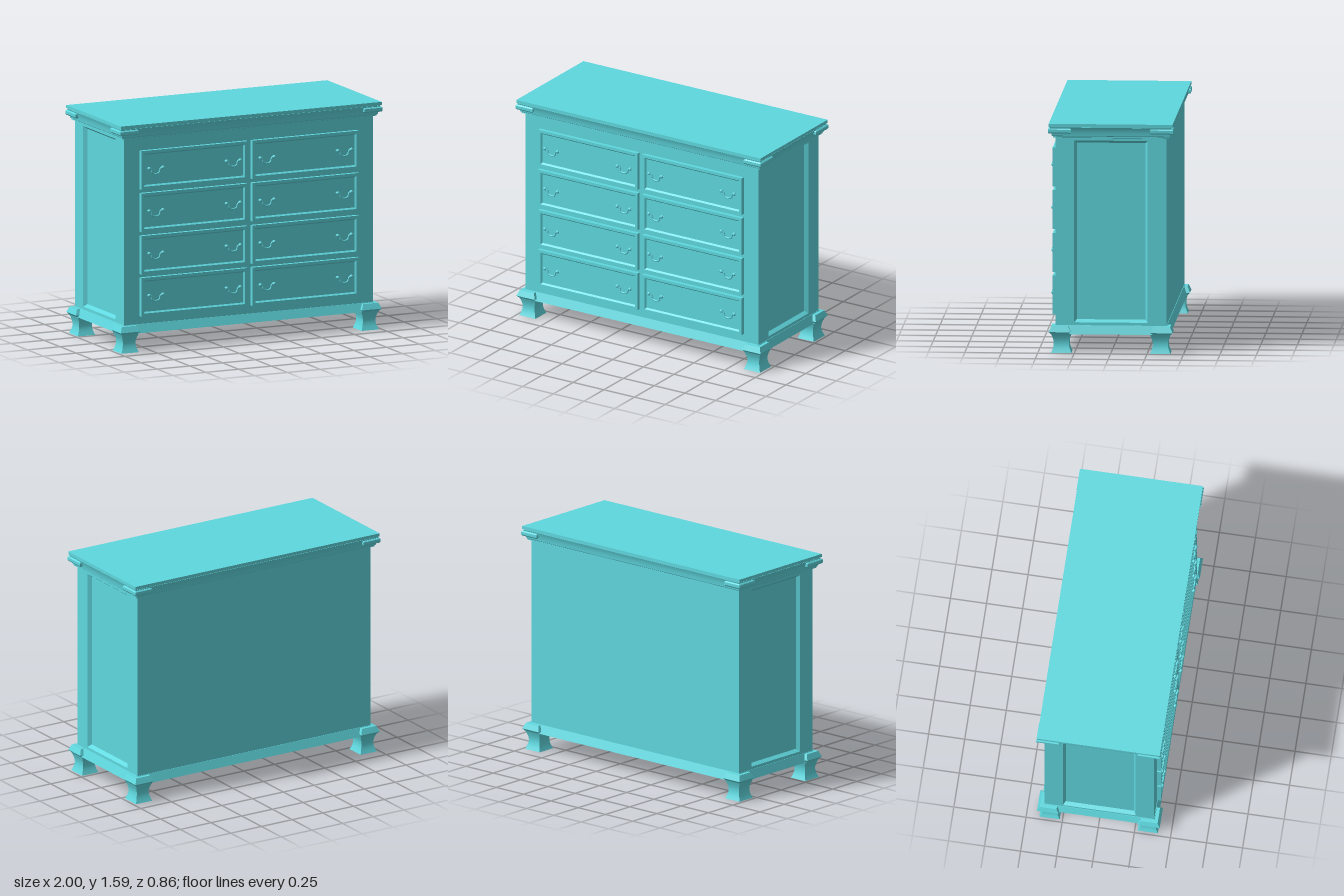
import * as THREE from 'three';
import { toCreasedNormals } from 'three/addons/utils/BufferGeometryUtils.js';

const material = new THREE.MeshStandardMaterial({ color: 0x5fd8df });

// Rectangular loft along +y; each ring is [half x, half z, y], capped at both ends.
function loft(rings) {
  const corners = [[1, 1], [1, -1], [-1, -1], [-1, 1]];
  const pos = [];
  const pt = (r, c) => [corners[c % 4][0] * r[0], r[2], corners[c % 4][1] * r[1]];
  const quad = (a, b, c, d) => pos.push(...a, ...b, ...c, ...a, ...c, ...d);
  for (let i = 0; i < rings.length - 1; i++) {
    const lo = rings[i], hi = rings[i + 1];
    for (let c = 0; c < 4; c++) quad(pt(lo, c), pt(lo, c + 1), pt(hi, c + 1), pt(hi, c));
  }
  const first = rings[0], last = rings[rings.length - 1];
  quad(pt(first, 3), pt(first, 2), pt(first, 1), pt(first, 0));
  quad(pt(last, 0), pt(last, 1), pt(last, 2), pt(last, 3));
  const g = new THREE.BufferGeometry();
  g.setAttribute('position', new THREE.Float32BufferAttribute(pos, 3));
  return toCreasedNormals(g, 0.5);
}

function add(parent, name, geometry, x = 0, y = 0, z = 0) {
  const mesh = new THREE.Mesh(geometry, material);
  mesh.name = name;
  mesh.position.set(x, y, z);
  parent.add(mesh);
  return mesh;
}

// Bail pull: two round knobs joined by a drooping bar
function makeHandle() {
  const handle = new THREE.Group();
  handle.name = 'handle';
  const knob = new THREE.SphereGeometry(0.012, 12, 8);
  const post = new THREE.CylinderGeometry(0.006, 0.008, 0.03, 10).rotateX(Math.PI / 2);
  for (const s of [-1, 1]) {
    add(handle, 'handleKnob', knob, s * 0.052, 0, 0.012);
    add(handle, 'handlePost', post, s * 0.052, 0, 0);
  }
  const half = [[0.066, -0.002], [0.05, 0.002], [0.035, -0.008], [0.028, -0.03], [0.014, -0.04]];
  const points = [
    ...half.map(([x, y]) => new THREE.Vector3(-x, y, 0.009)),
    ...half.slice().reverse().map(([x, y]) => new THREE.Vector3(x, y, 0.009)),
  ];
  const curve = new THREE.CatmullRomCurve3(points);
  add(handle, 'handleBar', new THREE.TubeGeometry(curve, 36, 0.006, 8), 0, 0, 0);
  return handle;
}

export function createModel() {
  const model = new THREE.Group();
  model.name = 'dresser';

  // Carcass
  add(model, 'carcass', new THREE.BoxGeometry(1.84, 1.37, 0.76), 0, 0.815, 0);

  // Sides with a recessed, bevelled panel
  const sideRings = [
    [0.66, 0.38, 0.9], [0.66, 0.38, 0.95], [0.63, 0.252, 0.95], [0.612, 0.236, 0.925],
  ];
  for (const s of [-1, 1]) {
    add(model, s > 0 ? 'leftSidePanel' : 'rightSidePanel',
      loft(sideRings).rotateZ(-s * Math.PI / 2), 0, 0.84, 0);
  }

  // Sloping plinth
  add(model, 'plinth', loft([[0.975, 0.405, 0.13], [0.953, 0.383, 0.19]]));

  // Cornice and top slab, given as [half depth, height]
  const cornice = [
    [0.385, 1.488], [0.398, 1.492], [0.398, 1.5], [0.405, 1.505], [0.408, 1.53],
    [0.414, 1.55], [0.42, 1.564], [0.416, 1.564], [0.416, 1.569], [0.425, 1.569], [0.425, 1.59],
  ];
  add(model, 'corniceTop', loft(cornice.map(([z, y]) => [z + 0.57, z, y])));

  // Feet with hollowed sides
  const footRings = [];
  for (let i = 0; i <= 12; i++) {
    const t = i / 12;
    const waist = 0.018 * Math.sin(Math.PI * t);
    footRings.push([0.066 - waist, 0.07 - waist, 0.132 * t]);
  }
  const foot = loft(footRings);

  // Bevelled blocks wrapping the corners of plinth and cornice
  const lowerBlock = loft([
    [0.062, 0.062, 0.132], [0.075, 0.075, 0.146], [0.058, 0.058, 0.186],
  ]);
  const upperBlock = loft([
    [0.063, 0.073, 1.522], [0.07, 0.08, 1.53], [0.07, 0.08, 1.55], [0.063, 0.073, 1.557],
  ]);
  for (const sx of [-1, 1]) {
    for (const sz of [-1, 1]) {
      add(model, 'foot', foot, sx * 0.915, 0, sz * 0.34);
      add(model, 'plinthCornerBlock', lowerBlock, sx * 0.92, 0, sz * 0.35);
      add(model, 'corniceCornerBlock', upperBlock, sx * 0.93, 0, sz * 0.35);
    }
  }

  // Drawers: four rows of two, each with a recessed face and two pulls
  const drawerFront = loft([
    [0.406, 0.135, 0.37], [0.406, 0.135, 0.408], [0.386, 0.115, 0.408], [0.376, 0.105, 0.396],
  ]).rotateX(Math.PI / 2);
  for (const y of [0.38, 0.673, 0.97, 1.266]) {
    for (const s of [-1, 1]) {
      const drawer = new THREE.Group();
      drawer.name = 'drawer';
      drawer.position.set(s * 0.424, y, 0);
      add(drawer, 'drawerFront', drawerFront);
      for (const h of [-1, 1]) {
        const handle = makeHandle();
        handle.position.set(h * 0.295, 0.009, 0.398);
        drawer.add(handle);
      }
      model.add(drawer);
    }
  }

  return model;
}
